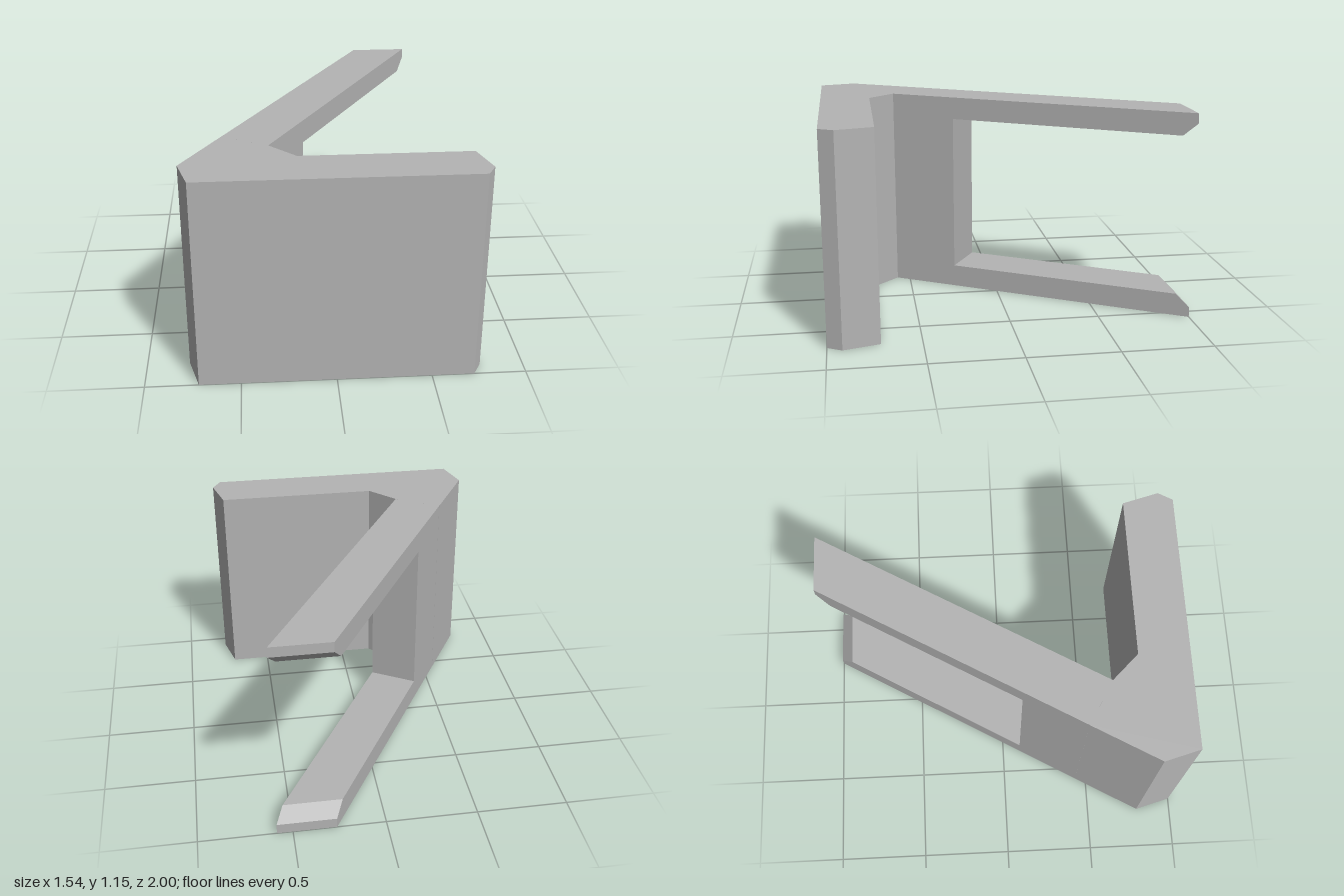
import * as THREE from 'three';

const HEIGHT = 1.155;
const toShape = (pts) => new THREE.Shape(pts.map(([x, y]) => new THREE.Vector2(x, y)));

// Upright prism from a plan outline given as [x, z]
function uprightPrism(plan) {
  const shape = toShape(plan.map(([x, z]) => [x, -z]));
  return new THREE.ExtrudeGeometry(shape, { depth: HEIGHT, bevelEnabled: false }).rotateX(-Math.PI / 2);
}

// Slanted arm from a side outline given as [z, y] on its inner face.
// The outer face is set back square to the arm, except at the tip, which stays at z = -1.
function slantedArm(side) {
  const geo = new THREE.ExtrudeGeometry(toShape(side), { depth: 1, bevelEnabled: false });
  const p = geo.attributes.position;
  const slope = 0.5776;
  for (let i = 0; i < p.count; i++) {
    const s = p.getX(i), outer = p.getZ(i) > 0.5;
    const z = outer && s > -0.5 ? s - 0.139 : s;
    const x = (outer ? 0.265 : 0.585) - (z + 1) * slope;
    p.setXYZ(i, x, p.getY(i), z);
  }
  geo.computeVertexNormals();
  return geo;
}

export function createModel() {
  const group = new THREE.Group();
  const grey = new THREE.MeshStandardMaterial({ color: 0xb4b4b4 });
  grey.name = 'plain grey';
  const add = (name, geo) => {
    const mesh = new THREE.Mesh(geo, grey);
    mesh.name = name;
    group.add(mesh);
  };

  // Front plate with bevelled free edge and elbow
  add('frontPlate', uprightPrism([
    [-0.72, 1], [0.725, 1], [0.77, 0.92], [0.715, 0.72], [-0.185, 0.72],
    [-0.325, 0.575], [-0.565, 0.436], [-0.775, 0.8],
  ]));

  // Forked arm: two prongs with chamfered inner tips
  const lower = [[0.24, 0.127], [-0.93, 0.127], [-1, 0.057], [-1, 0]];
  const upper = lower.map(([z, y]) => [z, HEIGHT - y]).reverse();
  add('forkedArm', slantedArm([[0.575, 0], [0.575, HEIGHT], ...upper, ...lower]));

  return group;
}
